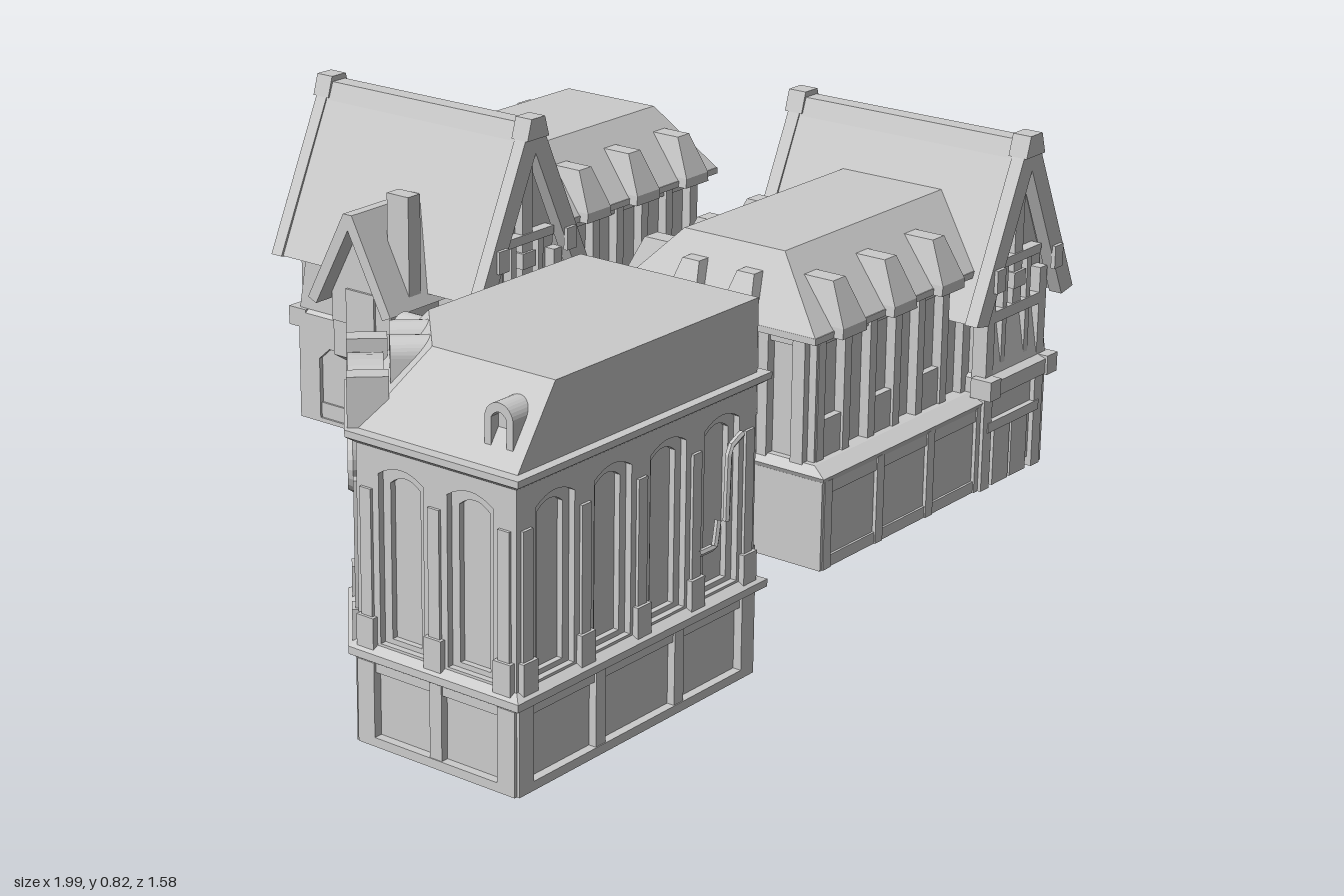
import * as THREE from 'three';

const mat = new THREE.MeshStandardMaterial({ color: 0xcccccc, flatShading: true });

function add(parent, name, geo, x = 0, y = 0, z = 0) {
  const m = new THREE.Mesh(geo, mat);
  m.name = name;
  m.position.set(x, y, z);
  parent.add(m);
  return m;
}

// Box given by its lowest and highest corners
const box = (p, name, x0, x1, y0, y1, z0, z1) =>
  add(p, name, new THREE.BoxGeometry(x1 - x0, y1 - y0, z1 - z0), (x0 + x1) / 2, (y0 + y1) / 2, (z0 + z1) / 2);

// Solid through convex plan outlines [x, z] at rising heights
function loft(p, name, ...levels) {
  const n = levels[0][0].length, pos = [], idx = [];
  for (const [plan, y] of levels) for (const [x, z] of plan) pos.push(x, y, z);
  for (let l = 0; l < levels.length - 1; l++) for (let i = 0; i < n; i++) {
    const a = l * n + i, b = l * n + (i + 1) % n;
    idx.push(a, b, b + n, a, b + n, a + n);
  }
  const t = (levels.length - 1) * n;
  for (let i = 1; i < n - 1; i++) idx.push(t, t + i, t + i + 1, 0, i + 1, i);
  const g = new THREE.BufferGeometry();
  g.setAttribute('position', new THREE.Float32BufferAttribute(pos, 3));
  g.setIndex(idx);
  const flat = g.toNonIndexed();
  flat.computeVertexNormals();
  return add(p, name, flat);
}
const rect = (x0, x1, z0, z1) => [[x0, z1], [x1, z1], [x1, z0], [x0, z0]];

// Pushes every side of a convex plan outward by d
function grow(plan, d) {
  const n = plan.length;
  const dir = i => {
    const [a, b] = plan[(i + n) % n], [c, e] = plan[(i + 1) % n], l = Math.hypot(c - a, e - b);
    return [(c - a) / l, (e - b) / l];
  };
  return plan.map(([x, z], i) => {
    const u = dir(i - 1), v = dir(i);
    const nx = -u[1] - v[1], nz = u[0] + v[0], k = d / (1 + u[0] * v[0] + u[1] * v[1]);
    return [x + nx * k, z + nz * k];
  });
}

// Group on one side of a plan: x runs along the wall, z points outward
function wallFrame(parent, name, [ax, az], [bx, bz]) {
  const g = new THREE.Group();
  g.name = name;
  g.position.set((ax + bx) / 2, 0, (az + bz) / 2);
  g.rotation.y = -Math.atan2(bz - az, bx - ax);
  parent.add(g);
  return [g, Math.hypot(bx - ax, bz - az)];
}

const polygon = pts => new THREE.Shape(pts.map(q => new THREE.Vector2(...q)));
const slab = (shape, depth) => new THREE.ExtrudeGeometry(shape, { depth, bevelEnabled: false, curveSegments: 8 });

// Outline with a low arched head
function archPath(x, w, y0, y1, rise) {
  const s = new THREE.Path();
  s.moveTo(x - w / 2, y0);
  s.lineTo(x + w / 2, y0);
  s.lineTo(x + w / 2, y1 - rise);
  s.quadraticCurveTo(x, y1 + rise, x - w / 2, y1 - rise);
  s.closePath();
  return s;
}
const archShape = (...a) => new THREE.Shape(archPath(...a).getPoints(8));

function roundDormer(parent, x, z, angle, y, r) {
  const g = new THREE.Group();
  g.name = 'roundDormer';
  g.position.set(x, y, z);
  g.rotation.y = angle;
  parent.add(g);
  const s = new THREE.Shape();
  s.moveTo(-r, -0.06); s.lineTo(r, -0.06); s.lineTo(r, 0.02);
  s.absarc(0, 0.02, r, 0, Math.PI);
  s.holes.push(archPath(0, r * 1.1, -0.03, 0.035, 0.012));
  add(g, 'dormerFrame', slab(s, 0.02), 0, 0, 0.025);
  const back = new THREE.Shape(s.getPoints(8));
  add(g, 'dormerBody', slab(back, 0.065), 0, 0, -0.04);
}

function cornerBlock() {
  const g = new THREE.Group();
  g.name = 'cornerBlock';
  const plan = [[-0.975, 0.77], [-0.28, 0.77], [-0.28, 0.23], [-0.79, 0.23], [-0.975, 0.4]];
  const bays = [4, 3, 3, 1, 2];
  loft(g, 'upperCore', [grow(plan, -0.025), 0.165], [grow(plan, -0.025), 0.6]);
  loft(g, 'baseLedge', [grow(plan, 0.004), 0.165], [grow(plan, 0.02), 0.175], [grow(plan, 0.02), 0.19], [grow(plan, 0), 0.2]);
  loft(g, 'cornice', [grow(plan, 0.002), 0.58], [grow(plan, 0.02), 0.592], [grow(plan, 0.02), 0.605]);
  loft(g, 'mansardRoof', [plan, 0.6], [[[-0.87, 0.77], [-0.28, 0.77], [-0.28, 0.35], [-0.72, 0.35], [-0.87, 0.49]], 0.75]);

  plan.forEach((p, i) => {
    const [w, len] = wallFrame(g, 'wall', p, plan[(i + 1) % 5]);
    const n = bays[i], h = len / 2, pitch = (len - 0.05) / n;
    // Open-bottomed base with piers and rails
    box(w, 'baseWall', -h, h, 0, 0.165, -0.03, -0.012);
    box(w, 'plinth', -h, h, 0, 0.018, -0.03, 0.006);
    box(w, 'baseRail', -h, h, 0.145, 0.166, -0.03, 0);
    for (const s of [-1, 1]) box(w, 'cornerPier', s * (h - 0.02) - 0.02, s * (h - 0.02) + 0.02, 0, 0.165, -0.03, 0.006);
    const piers = Math.max(0, Math.round(len / 0.2) - 1);
    for (let k = 1; k <= piers; k++) {
      const x = -h + len * k / (piers + 1);
      box(w, 'basePier', x - 0.014, x + 0.014, 0, 0.165, -0.03, 0.004);
    }
    // Upper storey of arched bays
    const face = polygon([[-h, 0.19], [h, 0.19], [h, 0.58], [-h, 0.58]]);
    for (let k = 0; k < n; k++) {
      const x = (k - (n - 1) / 2) * pitch;
      if (i !== 3) {
        face.holes.push(archPath(x, pitch - 0.055, 0.205, 0.55, 0.018));
        // Narrower framed window inside each arch
        const frame = archShape(x, pitch - 0.055, 0.205, 0.55, 0.018);
        frame.holes.push(archPath(x, pitch - 0.09, 0.215, 0.53, 0.015));
        add(w, 'windowFrame', slab(frame, 0.013), 0, 0, -0.026);
      } else face.holes.push(archPath(x, 0.1, 0.2, 0.4, 0.025));
    }
    add(w, 'archedWall', slab(face, 0.025), 0, 0, -0.025);
    for (let k = 0; k <= n; k++) {
      const x = (k - n / 2) * pitch;
      box(w, 'pilaster', x - 0.013, x + 0.013, 0.19, 0.5, -0.01, 0.006);
      box(w, 'pilasterFoot', x - 0.02, x + 0.02, 0.19, 0.255, -0.01, 0.012);
    }
    if (i === 3) {
      // Angled entrance with round window and arched pediment
      add(w, 'doorPanel', slab(archShape(0, 0.07, 0.2, 0.38, 0.02), 0.012), 0, 0, -0.025);
      add(w, 'roundWindow', new THREE.TorusGeometry(0.05, 0.011, 6, 20), 0, 0.5, 0.006);
      add(w, 'archedPediment', slab(archShape(0, 0.236, 0.6, 0.69, 0.03), 0.065), 0, 0, -0.052);
      for (const s of [-1, 1]) {
        roundDormer(w, s * 0.042, -0.108, 0, 0.695, 0.033);
        box(w, 'pedimentBlock', s * 0.105 - 0.02, s * 0.105 + 0.02, 0.6, 0.7, -0.06, 0.015);
      }
    }
  });
  roundDormer(g, -0.69, 0.305, Math.PI, 0.665, 0.034);
  roundDormer(g, -0.905, 0.71, -Math.PI / 2, 0.665, 0.032);

  // Drainpipes
  for (const pts of [[[-0.46, 0.3], [-0.41, 0.3], [-0.4, 0.35]], [[-0.375, 0.34], [-0.37, 0.48], [-0.33, 0.5]]]) {
    const curve = new THREE.CatmullRomCurve3(pts.map(([x, y]) => new THREE.Vector3(x, y, 0.775)), false, 'catmullrom', 0.1);
    add(g, 'drainpipe', new THREE.TubeGeometry(curve, 10, 0.007, 6));
  }
  return g;
}

function house() {
  const g = new THREE.Group();
  g.name = 'gabledHouse';
  const zc = 0.385, rx = 0.803;
  // Lower storey with a slightly sunken floor and thin joists
  box(g, 'wingBase', 0.115, 0.72, 0.07, 0.25, zc - 0.265, zc + 0.265);
  box(g, 'gableBase', 0.7, 0.925, 0.07, 0.27, zc - 0.27, zc + 0.27);
  for (let i = 0; i < 4; i++) box(g, 'joist', 0.25 + i * 0.155, 0.256 + i * 0.155, 0.05, 0.075, zc - 0.265, zc + 0.265);
  loft(g, 'wingSill', [rect(0.112, 0.7, zc - 0.27, zc + 0.27), 0.235], [rect(0.104, 0.7, zc - 0.278, zc + 0.278), 0.25], [rect(0.125, 0.7, zc - 0.24, zc + 0.24), 0.265]);

  // Upper wing and hipped roof
  box(g, 'wingUpper', 0.14, 0.75, 0.25, 0.54, zc - 0.21, zc + 0.21);
  box(g, 'eaves', 0.095, 0.67, 0.528, 0.542, zc - 0.255, zc + 0.255);
  loft(g, 'wingRoof', [rect(0.095, 0.7, zc - 0.255, zc + 0.255), 0.54], [rect(0.168, 0.76, zc - 0.125, zc + 0.125), 0.68]);

  const lower = rect(0.115, 0.7, zc - 0.265, zc + 0.265), upper = rect(0.14, 0.7, zc - 0.21, zc + 0.21);
  for (const i of [0, 2, 3]) {
    const end = i === 3;
    const [b, bl] = wallFrame(g, 'wingBaseWall', lower[i], lower[(i + 1) % 4]);
    if (end) box(b, 'plainEndWall', -bl / 2 - 0.006, bl / 2 + 0.006, 0.05, 0.24, -0.02, 0.006);
    else {
      box(b, 'skirting', -bl / 2, bl / 2, 0.05, 0.075, -0.02, 0.005);
      box(b, 'topRail', -bl / 2, bl / 2, 0.21, 0.24, -0.02, 0.005);
      for (let k = 0; k <= 3; k++) {
        const x = (k / 3 - 0.5) * (bl - 0.03);
        box(b, 'basePost', x - 0.013, x + 0.013, 0.05, 0.24, -0.02, 0.008);
      }
    }
    const [w, wl] = wallFrame(g, 'wingWall', upper[i], upper[(i + 1) % 4]);
    const sign = i === 0 ? 1 : -1;
    const xs = end ? [-0.068, 0.068] : [0.2, 0.38, 0.555].map(x => sign * (x - 0.42));
    for (const s of [-1, 1]) box(w, 'cornerPost', s * (wl / 2 - 0.012) - 0.015, s * (wl / 2 - 0.012) + 0.015, 0.26, 0.53, -0.01, 0.02);
    box(w, 'headRail', -wl / 2, wl / 2, 0.505, 0.53, 0, 0.015);
    for (const x of xs) {
      for (const s of [-1, 1]) box(w, 'windowPost', x + s * 0.045 - 0.012, x + s * 0.045 + 0.012, 0.26, 0.53, 0, 0.022);
      box(w, 'windowPanel', x - 0.033, x + 0.033, 0.26, 0.345, 0, 0.016);
      // Tapered hood that rises through the eaves
      loft(w, 'dormerHood', [rect(x - 0.042, x + 0.042, -0.06, 0.066), 0.528],
        [rect(x - 0.04, x + 0.04, -0.06, 0.066), 0.55], [rect(x - 0.021, x + 0.021, -0.08, 0.025), 0.637]);
    }
  }

  // Tall gabled section
  loft(g, 'gableSkirt', [rect(0.69, 0.935, zc - 0.3, zc + 0.3), 0.265], [rect(0.69, 0.935, zc - 0.3, zc + 0.3), 0.298],
    [rect(0.7, 0.925, zc - 0.28, zc + 0.28), 0.305], [rect(0.7, 0.925, zc - 0.255, zc + 0.255), 0.45]);
  add(g, 'gableWall', slab(polygon([[0.7, 0.43], [0.925, 0.43], [0.925, 0.53], [rx, 0.77], [0.69, 0.53]]), 0.51), 0, 0, zc - 0.255);
  const side = new THREE.Group();
  side.name = 'sideWall';
  side.position.set(0.925, 0, zc);
  side.rotation.y = Math.PI / 2;
  g.add(side);
  const frame = polygon([[-0.275, 0.05], [0.275, 0.05], [0.275, 0.265], [-0.275, 0.265]]);
  frame.holes.push(polygon([[-0.215, 0.06], [0.215, 0.06], [0.215, 0.2], [0.185, 0.227], [-0.185, 0.227], [-0.215, 0.2]]));
  add(side, 'panelFrame', slab(frame, 0.01));
  box(side, 'panelPlinth', -0.215, 0.215, 0.055, 0.095, 0, 0.005);

  // Steep roof as one folded slab with a flat ridge, edge boards and purlin ends
  const fold = (half, drop, t) => polygon([[rx - half, 0.8 - drop], [rx - 0.017, 0.8], [rx + 0.017, 0.8], [rx + half, 0.8 - drop],
    [rx + half - t, 0.8 - drop - 0.008], [rx, 0.83 - t * 2.2], [rx - half + t, 0.8 - drop - 0.008]]);
  add(g, 'gableRoof', slab(fold(0.183, 0.36, 0.022), 0.56), 0, 0, zc - 0.28);
  add(g, 'ridgeCap', slab(polygon([[rx - 0.034, 0.765], [rx + 0.034, 0.765], [rx + 0.02, 0.804], [rx - 0.02, 0.804]]), 0.57), 0, 0, zc - 0.285);
  for (const s of [-1, 1]) {
    const e = zc + s * 0.285;
    add(g, 'bargeBoard', slab(fold(0.189, 0.366, 0.045), 0.03), 0, 0.006, e - 0.015);
    add(g, 'ridgeFinial', slab(polygon([[rx - 0.036, 0.77], [rx + 0.036, 0.77], [rx + 0.022, 0.816], [rx - 0.022, 0.816]]), 0.044), 0, 0, e - 0.022);
    for (const t of [-1, 1]) box(g, 'purlinEnd', rx + t * 0.113 - 0.016, rx + t * 0.113 + 0.016, 0.5, 0.55, e - 0.005 + s * 0.018, e + 0.005 + s * 0.018);
    const [w] = wallFrame(g, 'gableEnd', [rx - s * 0.11, zc + s * 0.255], [rx + s * 0.11, zc + s * 0.255]);
    box(w, 'centrePost', -0.016, 0.016, 0.44, 0.72, -0.01, 0.022);
    for (const t of [-1, 1]) {
      box(w, 'sidePost', t * 0.1 - 0.014, t * 0.1 + 0.014, 0.3, 0.5, -0.01, 0.025);
      box(w, 'windowPost', t * 0.045 - 0.008, t * 0.045 + 0.008, 0.3, 0.54, -0.01, 0.022);
      box(w, 'bracket', t * 0.112 - 0.02, t * 0.112 + 0.02, 0.262, 0.305, 0, 0.05);
      box(w, 'basePost', t * 0.1 - 0.016, t * 0.1 + 0.016, 0.05, 0.265, -0.01, 0.026);
      box(w, 'doorLeaf', t * 0.035 - 0.031, t * 0.035 + 0.031, 0.05, 0.178, -0.01, 0.022);
    }
    box(w, 'crossBeam', -0.11, 0.11, 0.42, 0.445, -0.01, 0.025);
    box(w, 'collarBeam', -0.085, 0.085, 0.535, 0.555, -0.01, 0.025);
    box(w, 'doorLintel', -0.1, 0.1, 0.178, 0.2, -0.01, 0.028);
    box(w, 'ventPanel', -0.022, 0.022, 0.48, 0.515, 0, 0.028);
  }
  return g;
}

// Projecting bay with its own small gable and chimney
function orielBay() {
  const g = new THREE.Group();
  g.name = 'orielBay';
  const z = -0.44;
  loft(g, 'corbel', [rect(0.08, 0.12, z - 0.05, z + 0.05), 0.21], [rect(-0.037, 0.12, z - 0.085, z + 0.085), 0.29],
    [rect(-0.037, 0.12, z - 0.085, z + 0.085), 0.42]);
  const wall = add(g, 'bayGable', slab(polygon([[-0.085, 0.37], [0.085, 0.37], [0.085, 0.44], [0, 0.6], [-0.085, 0.44]]), 0.2), -0.04, 0, z);
  const roof = add(g, 'bayRoof', slab(polygon([[-0.118, 0.425], [-0.095, 0.415], [0, 0.595], [0.095, 0.415], [0.118, 0.425], [0.012, 0.63], [-0.012, 0.63]]), 0.225), -0.08, 0, z);
  wall.rotation.y = roof.rotation.y = Math.PI / 2;
  box(g, 'bayWindow', -0.046, -0.03, 0.33, 0.45, z - 0.04, z + 0.04);
  box(g, 'chimney', -0.005, 0.033, 0.43, 0.67, -0.395, -0.335);
  return g;
}

export function createModel() {
  const model = new THREE.Group();
  model.name = 'townBuildings';
  const front = house(), back = house();
  back.rotation.y = Math.PI;
  back.position.set(1.037, 0.005, -0.1);
  model.add(cornerBlock(), front, back, orielBay());
  return model;
}
